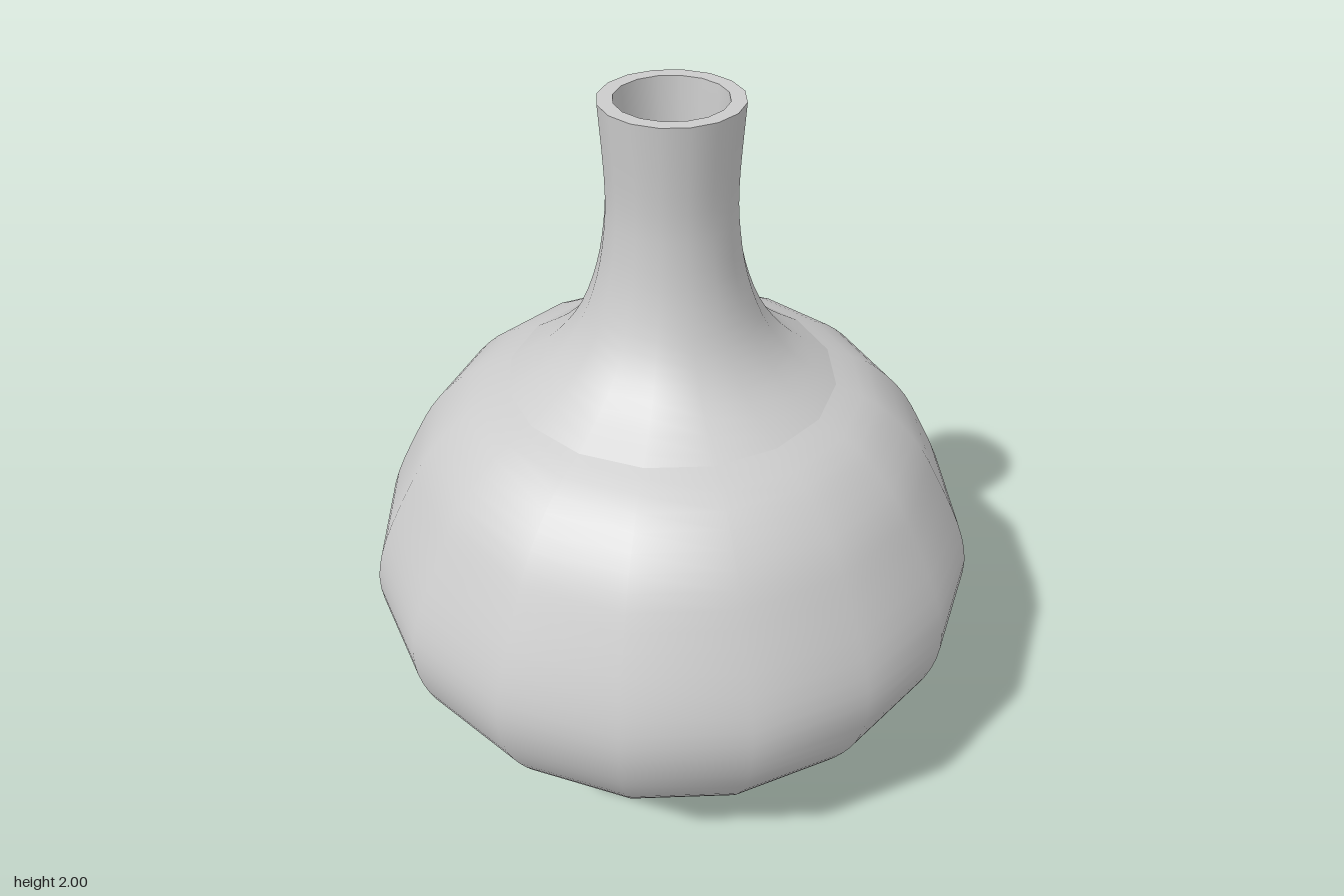
import * as THREE from 'three';

const SIDES = 16;

// Smooth curve through [radius, height] pairs
function curve(pairs, steps) {
  const spline = new THREE.SplineCurve(pairs.map(([r, y]) => new THREE.Vector2(r, y)));
  return spline.getPoints(steps).map((p) => new THREE.Vector2(Math.max(p.x, 0), p.y));
}

export function createModel() {
  const group = new THREE.Group();
  group.name = 'vase';
  const material = new THREE.MeshStandardMaterial({ color: 0xcccccc });

  function turn(name, points) {
    const mesh = new THREE.Mesh(new THREE.LatheGeometry(points, SIDES), material);
    mesh.name = name;
    group.add(mesh);
  }

  // Outer shell, from the base centre up to the lip
  const base = [[0.03, 0.005], [0.2, 0.016], [0.41, 0.057], [0.5, 0.09], [0.55, 0.125]];
  const belly = [[0.55, 0.125], [0.68, 0.246], [0.77, 0.36], [0.836, 0.485], [0.862, 0.617],
    [0.836, 0.75], [0.757, 0.92], [0.68, 1.05], [0.57, 1.157], [0.45, 1.215]];
  const neck = [[0.45, 1.215], [0.33, 1.3], [0.25, 1.4], [0.2, 1.53], [0.176, 1.67],
    [0.172, 1.8], [0.185, 2]];
  turn('base', curve(base, 10));
  turn('belly', curve(belly, 28));
  turn('neck', curve(neck, 20));

  // Small dimple under the base
  turn('baseDimple', curve([[0, 0.018], [0.015, 0.013], [0.03, 0.005]], 4));

  // Flat ring around the mouth
  turn('lip', [new THREE.Vector2(0.185, 2), new THREE.Vector2(0.145, 2)]);

  // Inner wall, running down from the mouth to the floor
  const innerNeck = [[0.145, 2], [0.132, 1.8], [0.137, 1.67], [0.16, 1.53], [0.21, 1.39],
    [0.3, 1.27], [0.43, 1.175]];
  const innerBelly = [[0.43, 1.175], [0.545, 1.12], [0.65, 1.025], [0.72, 0.9], [0.796, 0.74],
    [0.82, 0.617], [0.796, 0.495], [0.735, 0.38], [0.65, 0.275], [0.53, 0.16]];
  const innerFloor = [[0.53, 0.16], [0.4, 0.098], [0.2, 0.058], [0.06, 0.048]];
  turn('innerNeck', curve(innerNeck, 16));
  turn('innerBelly', curve(innerBelly, 24));
  turn('innerFloor', curve(innerFloor, 8));

  // Shallow pit in the middle of the floor
  turn('floorPit', [[0.06, 0.048], [0.03, 0.025], [0, 0.025]].map(([r, y]) => new THREE.Vector2(r, y)));

  return group;
}
